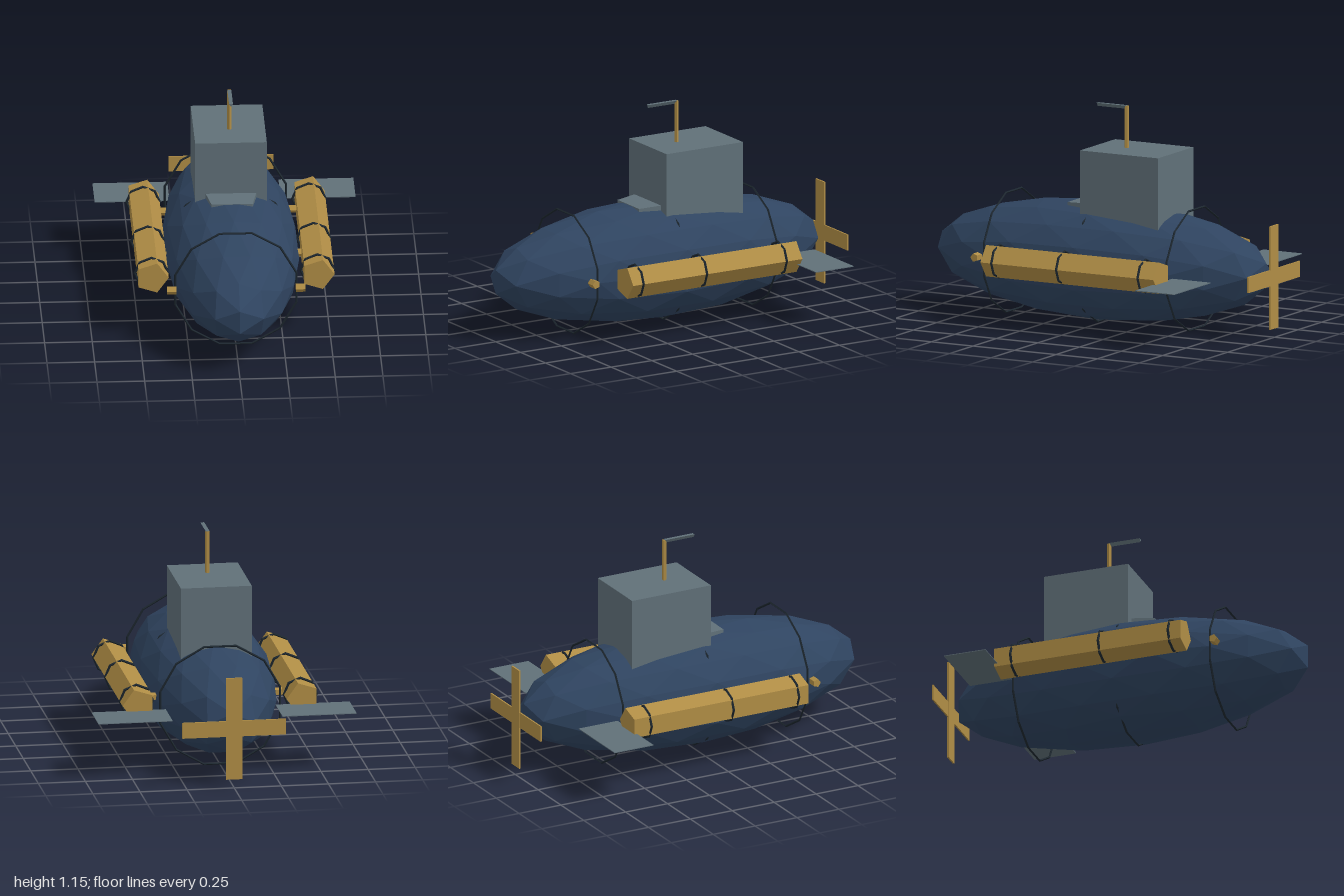
import * as THREE from 'three';

const paint = (color) => new THREE.MeshStandardMaterial({ color, flatShading: true, side: THREE.DoubleSide });

export function createModel() {
  const model = new THREE.Group();
  const navy = paint(0x2f4460), brass = paint(0xb08d45), steel = paint(0x607078), dark = paint(0x1c262e);

  const add = (name, geometry, material, x, y, z) => {
    const mesh = new THREE.Mesh(geometry, material);
    mesh.name = name;
    mesh.position.set(x, y, z);
    model.add(mesh);
    return mesh;
  };
  const box = (name, w, h, d, material, x, y, z) =>
    add(name, new THREE.BoxGeometry(w, h, d), material, x, y, z);

  // Faceted spindle hull
  const hull = new THREE.IcosahedronGeometry(1, 2).scale(0.357, 0.317, 0.995);
  add('hull', hull, navy, 0, 0.34, 0.025);

  // Hoops around the hull
  for (const z of [0.57, 0.02, -0.53]) {
    add('hullHoop', new THREE.TorusGeometry(0.329, 0.006, 4, 12).rotateZ(Math.PI / 12), dark, 0, 0.34, z);
  }

  // Conning tower with a low step at its front
  box('conningTower', 0.376, 0.425, 0.47, steel, 0, 0.733, -0.17);
  const step = new THREE.BoxGeometry(0.27, 0.07, 0.13);
  const p = step.attributes.position;
  for (let i = 0; i < p.count; i++) {
    if (p.getZ(i) > 0) p.setXYZ(i, p.getX(i) * 0.8, p.getY(i) - 0.008, p.getZ(i));
  }
  add('towerStep', step, steel, 0, 0.62, 0.12);

  // Periscope
  add('periscopeTube', new THREE.CylinderGeometry(0.012, 0.012, 0.225, 5), brass, 0, 1.057, -0.11);
  const head = new THREE.CylinderGeometry(0.012, 0.012, 0.175, 3).rotateX(Math.PI / 2);
  add('periscopeHead', head, steel, 0, 1.165, -0.023);

  for (const side of [-1, 1]) {
    // Side tank: five-sided cylinder with a flat toward -x on both sides
    const tank = new THREE.CylinderGeometry(0.088, 0.088, 1.04, 5).rotateY(Math.PI / 2).rotateX(Math.PI / 2);
    add('sideTank', tank, brass, side * 0.435, 0.365, -0.045);
    for (const z of [0.41, 0.02, -0.47]) {
      add('tankBand', new THREE.TorusGeometry(0.087, 0.007, 4, 8), dark, side * 0.435, 0.365, z);
    }
    // Struts joining tank to hull
    for (const z of [0.17, -0.37]) {
      const strut = new THREE.CylinderGeometry(0.022, 0.022, 0.12, 5).rotateZ(Math.PI / 2);
      add('tankStrut', strut, brass, side * 0.35, 0.355, z);
    }
    // Bow lamp
    const lamp = new THREE.CylinderGeometry(0.023, 0.023, 0.05, 5).rotateZ(Math.PI / 2);
    add('bowLamp', lamp, brass, side * 0.338, 0.353, 0.603);
    // Stern plane
    box('sternPlane', 0.393, 0.004, 0.232, steel, side * 0.488, 0.332, -0.664);
  }

  // Cross-shaped propeller
  box('propellerBladeVertical', 0.085, 0.55, 0.009, brass, 0, 0.337, -0.995);
  box('propellerBladeHorizontal', 0.55, 0.085, 0.008, brass, 0, 0.337, -0.995);

  return model;
}
